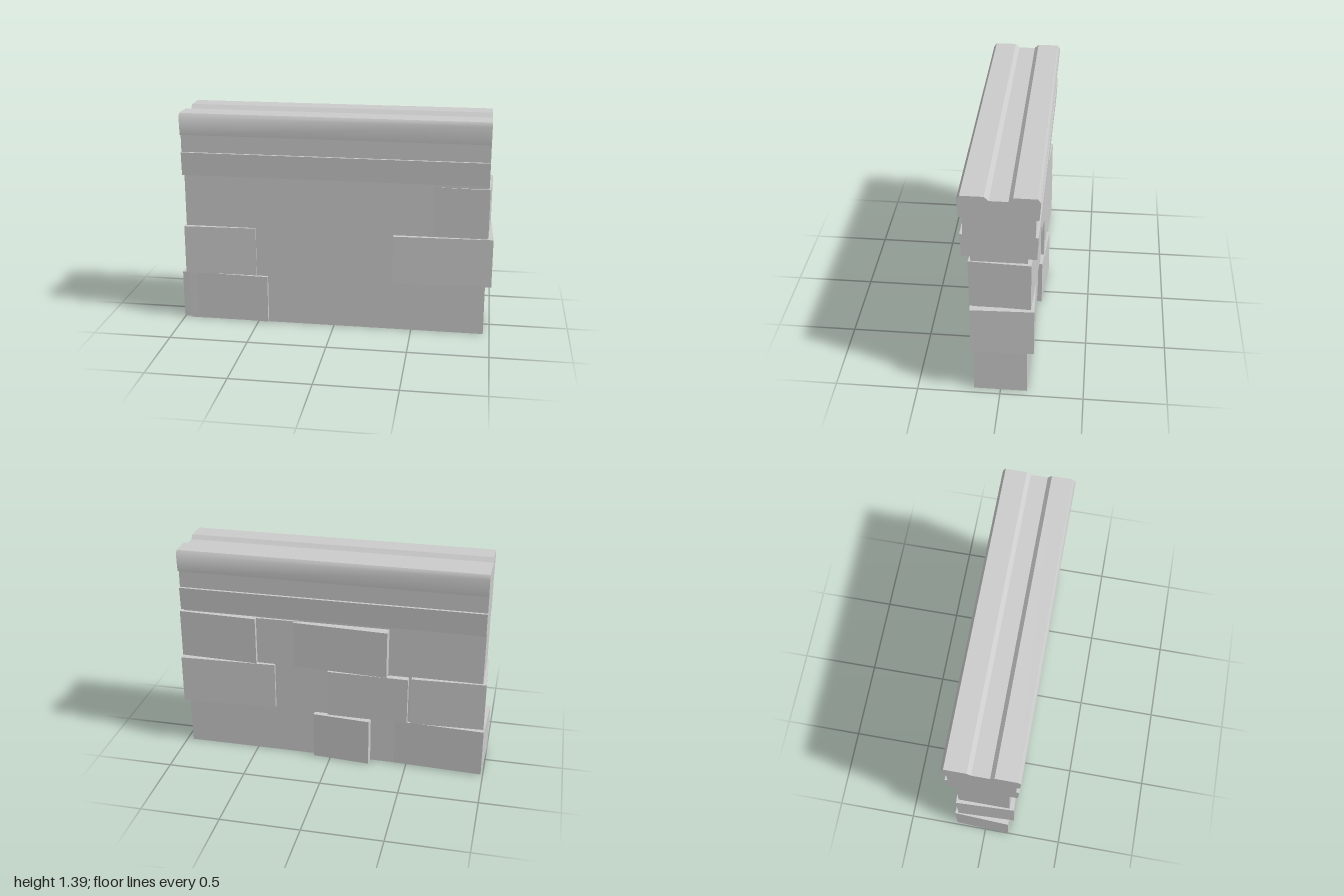
import * as THREE from 'three';
import { toCreasedNormals } from 'three/addons/utils/BufferGeometryUtils.js';

const HALF = 0.96; // half length of the wall
const material = new THREE.MeshStandardMaterial({ color: 0xcccccc, side: THREE.DoubleSide });

// Drops the triangles lying on the ground, leaving the hollow wall open below
function openBottom(geometry) {
  const p = geometry.attributes.position;
  const kept = [];
  for (let i = 0; i < p.count; i += 3) {
    const top = Math.max(p.getY(i), p.getY(i + 1), p.getY(i + 2));
    if (top < 0.001) continue;
    for (let k = i; k < i + 3; k++) kept.push(p.getX(k), p.getY(k), p.getZ(k));
  }
  const open = new THREE.BufferGeometry();
  open.setAttribute('position', new THREE.Float32BufferAttribute(kept, 3));
  return open;
}

// Wall and moulded coping share one cross-section, swept along x
function wallGeometry() {
  // [z, y] from the front foot up and over to the back foot
  const front = [
    [0.16, 0], [0.16, 0.99], [0.21, 0.99], [0.217, 1.137], [0.2, 1.137],
    [0.2, 1.25], [0.219, 1.25], [0.227, 1.362], [0.21, 1.387],
    [0.078, 1.387], [0.053, 1.362],
  ];
  const back = front.map(([z, y]) => [-z, y]).reverse();
  const shape = new THREE.Shape(
    [...front, ...back].map(([z, y]) => new THREE.Vector2(-z, y)));
  const swept = new THREE.ExtrudeGeometry(shape, { depth: HALF * 2, bevelEnabled: false });
  swept.translate(0, 0, -HALF).rotateY(Math.PI / 2);
  return toCreasedNormals(openBottom(swept.toNonIndexed ? (swept.index ? swept.toNonIndexed() : swept) : swept), 0.75);
}

// Stones: name, x from/to, y from/to, z from/to at mid length, turn in degrees
const STONES = [
  ['lowerCornerStone', -0.995, -0.425, 0.006, 0.318, -0.182, 0.168, -2.4],
  ['lowerBackStone', -0.265, 0.105, 0.003, 0.316, -0.205, -0.03, -4],
  ['lowerFillerStone', -0.43, -0.15, 0.004, 0.314, -0.162, 0.03, 0.5],
  ['middleLeftCornerStone', 0.372, 0.993, 0.325, 0.638, -0.19, 0.18, 1.9],
  ['middleRightCornerStone', -0.976, -0.512, 0.325, 0.642, -0.182, 0.18, 2.3],
  ['middleBackStone', -0.5, 0.015, 0.327, 0.638, -0.198, -0.03, -0.4],
  ['upperCornerStone', 0.472, 0.974, 0.65, 0.96, -0.191, 0.164, -2.4],
  ['upperFillerStone', 0.2, 0.5, 0.65, 0.958, -0.176, -0.03, 0.5],
  ['upperBackStone', -0.37, 0.23, 0.65, 0.955, -0.205, -0.03, -2.9],
];

export function createModel() {
  const model = new THREE.Group();
  model.name = 'stoneWall';

  const wall = new THREE.Mesh(wallGeometry(), material);
  wall.name = 'wallWithCoping';
  model.add(wall);

  // Slightly turned blocks poking out of the wall
  for (const [name, x0, x1, y0, y1, z0, z1, turn] of STONES) {
    const stone = new THREE.Mesh(new THREE.BoxGeometry(x1 - x0, y1 - y0, z1 - z0), material);
    stone.name = name;
    stone.position.set((x0 + x1) / 2, (y0 + y1) / 2, (z0 + z1) / 2);
    stone.rotation.y = THREE.MathUtils.degToRad(turn);
    model.add(stone);
  }
  return model;
}
